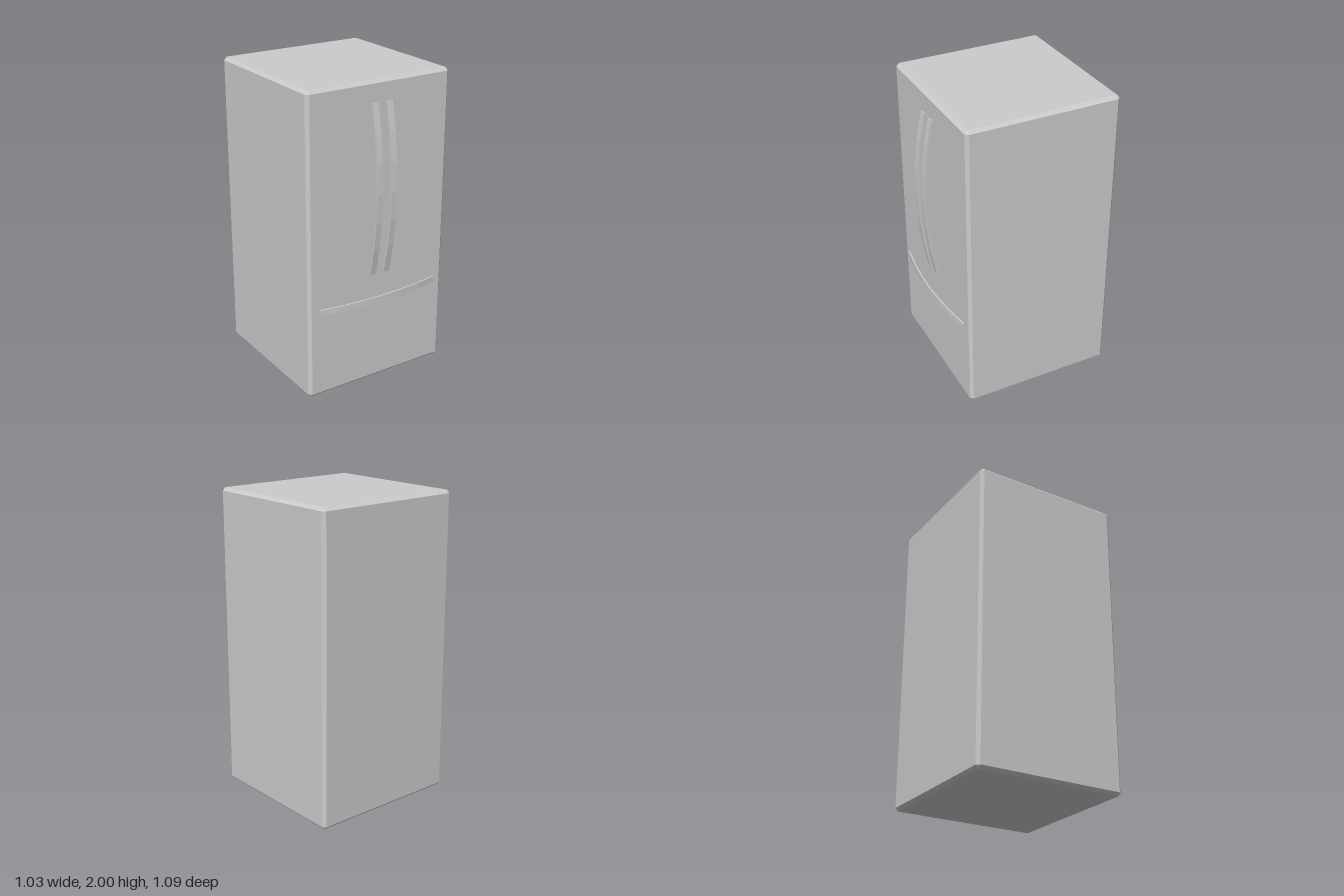
import * as THREE from 'three';
import { ConvexGeometry } from 'three/addons/geometries/ConvexGeometry.js';

const material = new THREE.MeshStandardMaterial({ color: 0xcccccc, flatShading: true });

// Box with every edge and corner cut by a flat chamfer
function chamferedBox(w, h, d, c) {
  const points = [];
  for (const x of [-1, 1]) for (const y of [-1, 1]) for (const z of [-1, 1]) {
    for (let axis = 0; axis < 3; axis++) {
      const cut = [c, c, c];
      cut[axis] = 0;
      points.push(new THREE.Vector3(
        x * (w / 2 - cut[0]), y * (h / 2 - cut[1]), z * (d / 2 - cut[2])));
    }
  }
  return new ConvexGeometry(points);
}

// Flat strip bowed towards +z, running along x, with its ends at z = 0
function bowedBar(length, rise, thickness, width, segments = 6) {
  const half = length / 2;
  const radius = (half * half + rise * rise) / (2 * rise);
  const sweep = Math.asin(half / radius);
  const inner = [], outer = [];
  for (let i = 0; i <= segments; i++) {
    const a = sweep * (2 * i / segments - 1);
    const at = (r) => new THREE.Vector2(r * Math.sin(a), r * Math.cos(a) - radius + rise);
    inner.push(at(radius - thickness));
    outer.push(at(radius));
  }
  const shape = new THREE.Shape([...inner, ...outer.reverse()]);
  const geometry = new THREE.ExtrudeGeometry(shape, { depth: width, bevelEnabled: false });
  return geometry.translate(0, 0, -width / 2).rotateX(Math.PI / 2);
}

export function createModel() {
  const model = new THREE.Group();
  model.name = 'refrigerator';

  const add = (name, geometry, x, y, z) => {
    const mesh = new THREE.Mesh(geometry, material);
    mesh.name = name;
    mesh.position.set(x, y, z);
    model.add(mesh);
  };

  // Cabinet
  add('cabinet', chamferedBox(1.03, 2, 1.008, 0.02), 0, 1, -0.044);

  // Pair of upright door handles
  const doorHandle = bowedBar(1.115, 0.065, 0.014, 0.042).rotateZ(Math.PI / 2);
  add('leftDoorHandle', doorHandle, 0.051, 1.312, 0.48);
  add('rightDoorHandle', doorHandle, -0.053, 1.312, 0.48);

  // Drawer handle
  add('drawerHandle', bowedBar(0.885, 0.041, 0.01, 0.042), 0.003, 0.589, 0.472);

  return model;
}
